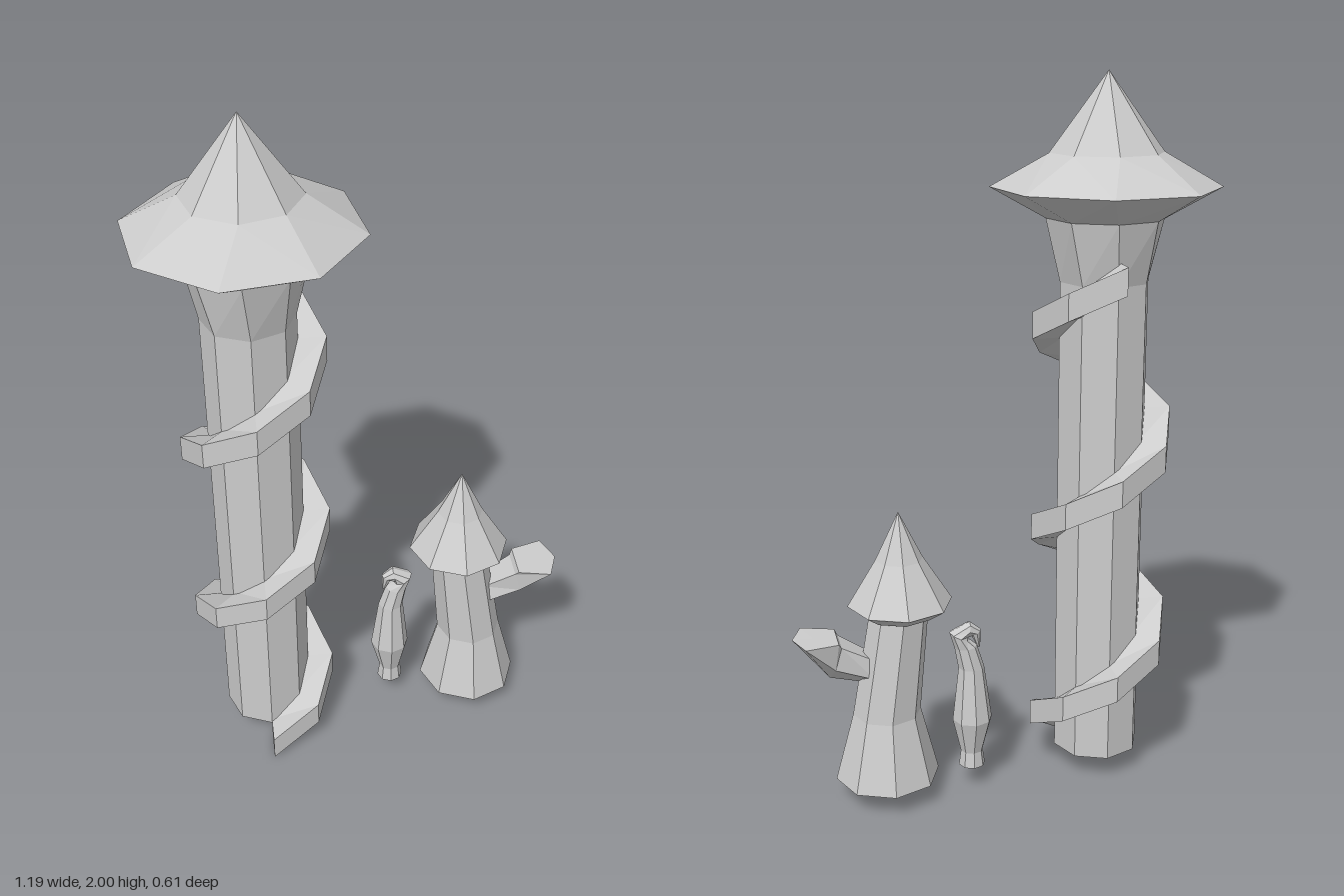
import * as THREE from 'three';

const stone = new THREE.MeshStandardMaterial({ color: 0xcccccc, flatShading: true });
stone.name = 'stone';
const rad = THREE.MathUtils.degToRad;

// Skin a list of equal-length point rings and close both ends with fans.
function loft(name, rings) {
  const pos = [];
  const tri = (a, b, c) => {
    if (a.distanceTo(b) > 1e-6 && b.distanceTo(c) > 1e-6 && c.distanceTo(a) > 1e-6)
      for (const p of [a, b, c]) pos.push(p.x, p.y, p.z);
  };
  const n = rings[0].length;
  const mid = (r) => r.reduce((s, p) => s.add(p), new THREE.Vector3()).divideScalar(n);
  const last = rings[rings.length - 1];
  const m0 = mid(rings[0]), m1 = mid(last);
  for (let i = 0; i < n; i++) {
    const j = (i + 1) % n;
    for (let k = 0; k + 1 < rings.length; k++) {
      const L = rings[k], U = rings[k + 1];
      tri(L[i], U[i], L[j]);
      tri(U[i], U[j], L[j]);
    }
    tri(m0, rings[0][i], rings[0][j]);
    tri(m1, last[j], last[i]);
  }
  const g = new THREE.BufferGeometry();
  g.setAttribute('position', new THREE.Float32BufferAttribute(pos, 3));
  g.computeVertexNormals();
  const mesh = new THREE.Mesh(g, stone);
  mesh.name = name;
  return mesh;
}

// Octagonal ring at (x, y, z), turned by phase degrees, leaning by tilt degrees towards -x.
function ring(x, y, z, r, phase = 0, tilt = 0) {
  const t = rad(tilt);
  return Array.from({ length: 8 }, (_, i) => {
    const a = rad(phase + i * 45), c = r * Math.cos(a);
    return new THREE.Vector3(x + c * Math.cos(t), y + c * Math.sin(t), z + r * Math.sin(a));
  });
}

function tallTower() {
  const g = new THREE.Group();
  g.name = 'tallTower';
  const X = -0.295;
  g.add(loft('tallShaft', [ring(X, 0.07, 0, 0.125), ring(X, 1.45, 0, 0.125)]));
  // twisted neck and flared roof
  g.add(loft('tallRoof', [
    ring(X, 1.45, 0, 0.125), ring(X, 1.62, 0, 0.163, 5.5), ring(X, 1.7, 0, 0.312, 13.5),
    ring(X, 1.79, 0, 0.156, 50.5), ring(X, 2, 0, 0),
  ]));
  // spiral ramp, eight steps per turn
  const ramp = [];
  for (let s = 0; s <= 20; s++) {
    const a = rad(90 - 45 * s), y = s * 0.0721;
    const at = (r, h) => new THREE.Vector3(X + r * Math.cos(a), y + h, r * Math.sin(a));
    ramp.push([at(0.115, 0), at(0.2, 0), at(0.2, 0.075), at(0.115, 0.075)]);
  }
  g.add(loft('spiralRamp', ramp));
  return g;
}

function smallTower() {
  const g = new THREE.Group();
  g.name = 'smallTower';
  const Z = -0.043;
  g.add(loft('smallShaft', [
    ring(0.335, 0.065, Z, 0.147), ring(0.333, 0.26, Z, 0.096), ring(0.293, 0.56, Z, 0.083),
  ]));
  g.add(loft('smallRoof', [
    ring(0.29, 0.555, Z, 0.1), ring(0.29, 0.587, Z, 0.146),
    ring(0.29, 0.715, Z, 0.066), ring(0.29, 0.85, Z, 0),
  ]));
  // side balcony: five-sided sections given as keel, side and top corners
  const section = (keel, side, top) => [
    [keel[0], keel[1], 0], side, top,
    [top[0], top[1], -top[2]], [side[0], side[1], -side[2]],
  ].map(([x, y, z]) => new THREE.Vector3(x, y, z + Z));
  g.add(loft('balcony', [
    section([0.37, 0.35], [0.37, 0.38, 0.043], [0.37, 0.432, 0.03]),
    section([0.49, 0.38], [0.478, 0.42, 0.045], [0.46, 0.485, 0.045]),
    section([0.59, 0.503], [0.56, 0.503, 0.078], [0.468, 0.5, 0.055]),
  ]));
  return g;
}

// Slender pillar whose top bends over into a hook
function hookedPillar() {
  const Z = -0.045;
  return loft('hookedPillar', [
    ring(0.09, 0.065, Z, 0.038), ring(0.09, 0.11, Z, 0.032), ring(0.088, 0.21, Z, 0.057),
    ring(0.09, 0.37, Z, 0.037), ring(0.106, 0.435, Z, 0.032, 0, -5),
    ring(0.125, 0.468, Z, 0.03, 0, 25), ring(0.098, 0.485, Z, 0.024, 0, 100),
    ring(0.076, 0.475, Z, 0.016, 0, 150), ring(0.068, 0.43, Z, 0.004, 0, 170),
  ]);
}

export function createModel() {
  const model = new THREE.Group();
  model.name = 'towers';
  model.add(tallTower(), smallTower(), hookedPillar());
  return model;
}
